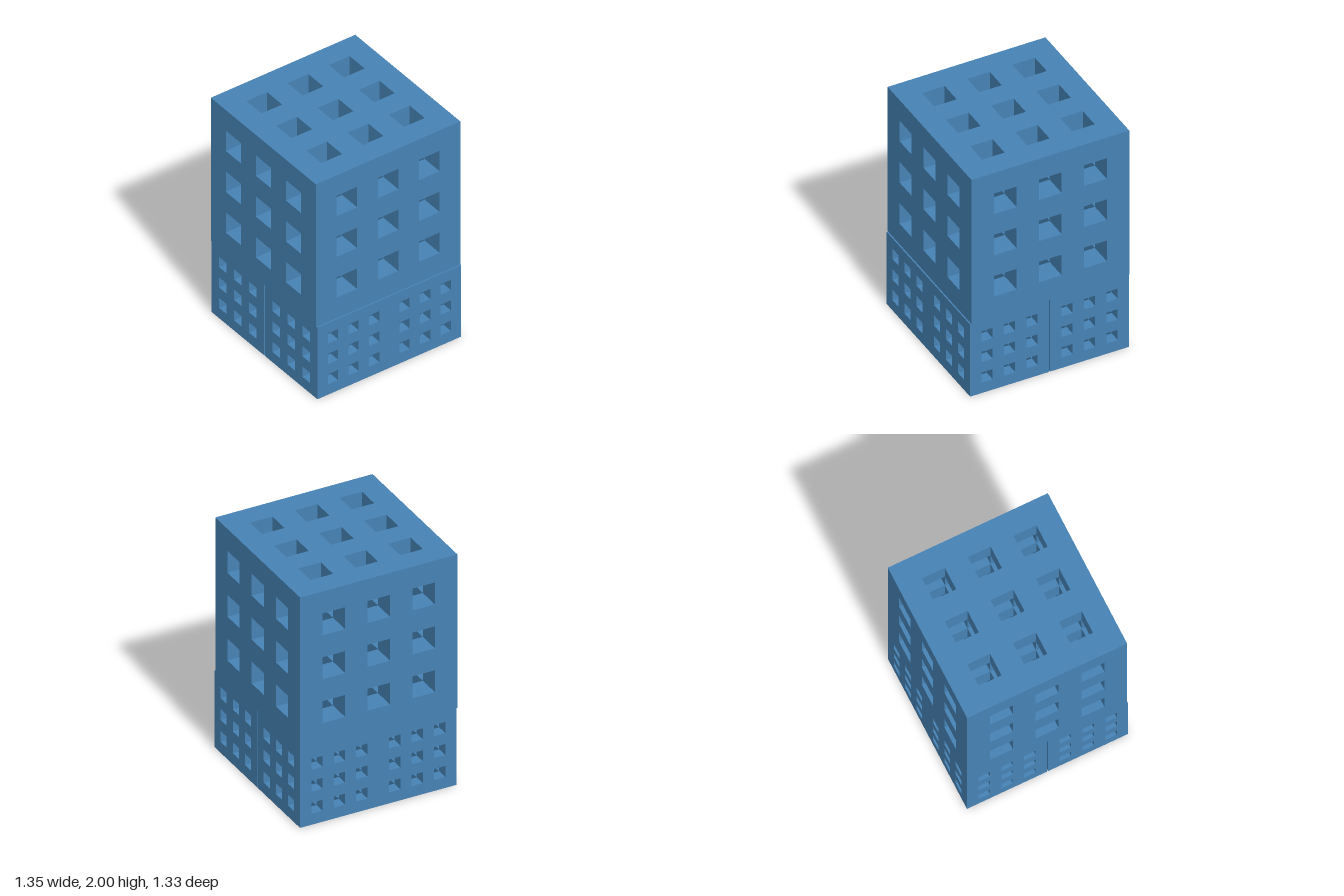
import * as THREE from 'three';
import { mergeGeometries } from 'three/addons/utils/BufferGeometryUtils.js';

const CELLS = 7; // cells per edge: bars on even cells, tunnels on odd cells

// Corner points of a rectangle on the cell grid, centred on the origin
function rect(i, j, size = 1) {
  const x = i - CELLS / 2, y = j - CELLS / 2;
  return [[x, y], [x + size, y], [x + size, y + size], [x, y + size]]
    .map(([a, b]) => new THREE.Vector2(a, b));
}

// Skin of a cube pierced by 3 x 3 square tunnels along every axis
function latticeGeometry(size) {
  const panel = new THREE.Shape(rect(0, 0, CELLS)); // outer face with nine windows
  const walls = [];                                 // bar faces inside the tunnels
  for (let i = 0; i < CELLS; i++) {
    for (let j = 0; j < CELLS; j++) {
      if (i % 2 && j % 2) panel.holes.push(new THREE.Path(rect(i, j)));
      else if (i % 2 || j % 2) walls.push(new THREE.Shape(rect(i, j)));
    }
  }

  const parts = [];
  const turns = [
    (g) => g,
    (g) => g.rotateY(Math.PI / 2),
    (g) => g.rotateX(-Math.PI / 2),
  ];
  for (const turn of turns) {
    for (let d = 0; d <= CELLS; d++) {
      const outer = d === 0 || d === CELLS;
      const g = new THREE.ShapeGeometry(outer ? panel : walls);
      if (d % 2 === 0) g.rotateY(Math.PI); // even planes look back, odd ones forward
      parts.push(turn(g.translate(0, 0, d - CELLS / 2)));
    }
  }
  const s = size / CELLS;
  return mergeGeometries(parts).scale(s, s, s);
}

export function createModel() {
  const group = new THREE.Group();
  const material = new THREE.MeshStandardMaterial({ color: 0x4682b4 });
  const small = 2 / 3, large = 4 / 3;

  const add = (name, geometry, x, y, z) => {
    const mesh = new THREE.Mesh(geometry, material);
    mesh.name = name;
    mesh.position.set(x, y, z);
    group.add(mesh);
  };

  // Large lattice cube on top
  add('upperCube', latticeGeometry(large), -0.007, small + large / 2, 0);

  // Four small cubes below, with a narrow slit between left and right
  const smallGeometry = latticeGeometry(small);
  for (const [side, x] of [['Left', 0.338], ['Right', -0.338]]) {
    add('lowerFront' + side + 'Cube', smallGeometry, x, small / 2, 0.327);
    add('lowerBack' + side + 'Cube', smallGeometry, x, small / 2, -0.333);
  }
  return group;
}
